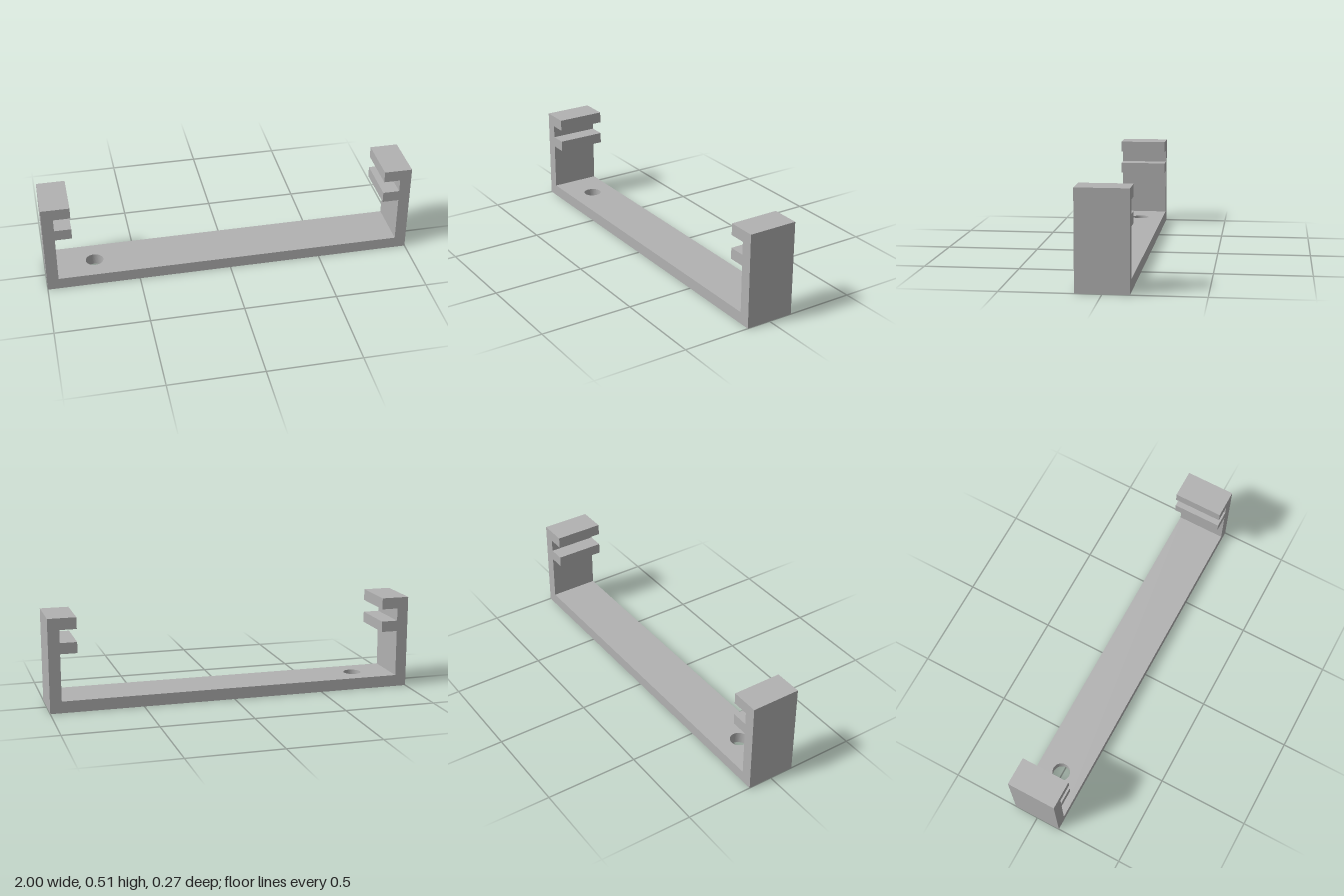
import * as THREE from 'three';

const DEPTH = 0.266, HEIGHT = 0.507, BASE = 0.063;

export function createModel() {
  const group = new THREE.Group();
  const grey = new THREE.MeshStandardMaterial({ color: 0xb2b2b2 });

  // Base plate with one screw hole near its right end
  const plate = new THREE.Shape([[-1, -DEPTH / 2], [1, -DEPTH / 2], [1, DEPTH / 2], [-1, DEPTH / 2]]
    .map(([x, y]) => new THREE.Vector2(x, y)));
  const hole = new THREE.Path();
  hole.absarc(-0.73, 0, 0.048, 0, Math.PI * 2, true);
  plate.holes.push(hole);
  const plateGeo = new THREE.ExtrudeGeometry(plate, { depth: BASE, bevelEnabled: false, curveSegments: 32 });
  plateGeo.rotateX(-Math.PI / 2);
  const base = new THREE.Mesh(plateGeo, grey);
  base.name = 'basePlate';
  group.add(base);

  // Upright walls, each with two inward lips forming a slot
  const profile = [
    [1, BASE], [1, HEIGHT], [0.848, HEIGHT], [0.848, 0.445], [0.938, 0.445],
    [0.938, 0.376], [0.848, 0.376], [0.848, 0.317], [0.938, 0.317], [0.938, BASE],
  ];
  for (const [side, name] of [[1, 'leftSlottedWall'], [-1, 'rightSlottedWall']]) {
    const shape = new THREE.Shape(profile.map(([x, y]) => new THREE.Vector2(side * x, y)));
    const geo = new THREE.ExtrudeGeometry(shape, { depth: DEPTH, bevelEnabled: false });
    geo.translate(0, 0, -DEPTH / 2);
    const wall = new THREE.Mesh(geo, grey);
    wall.name = name;
    group.add(wall);
  }
  grey.name = 'grey';
  return group;
}
